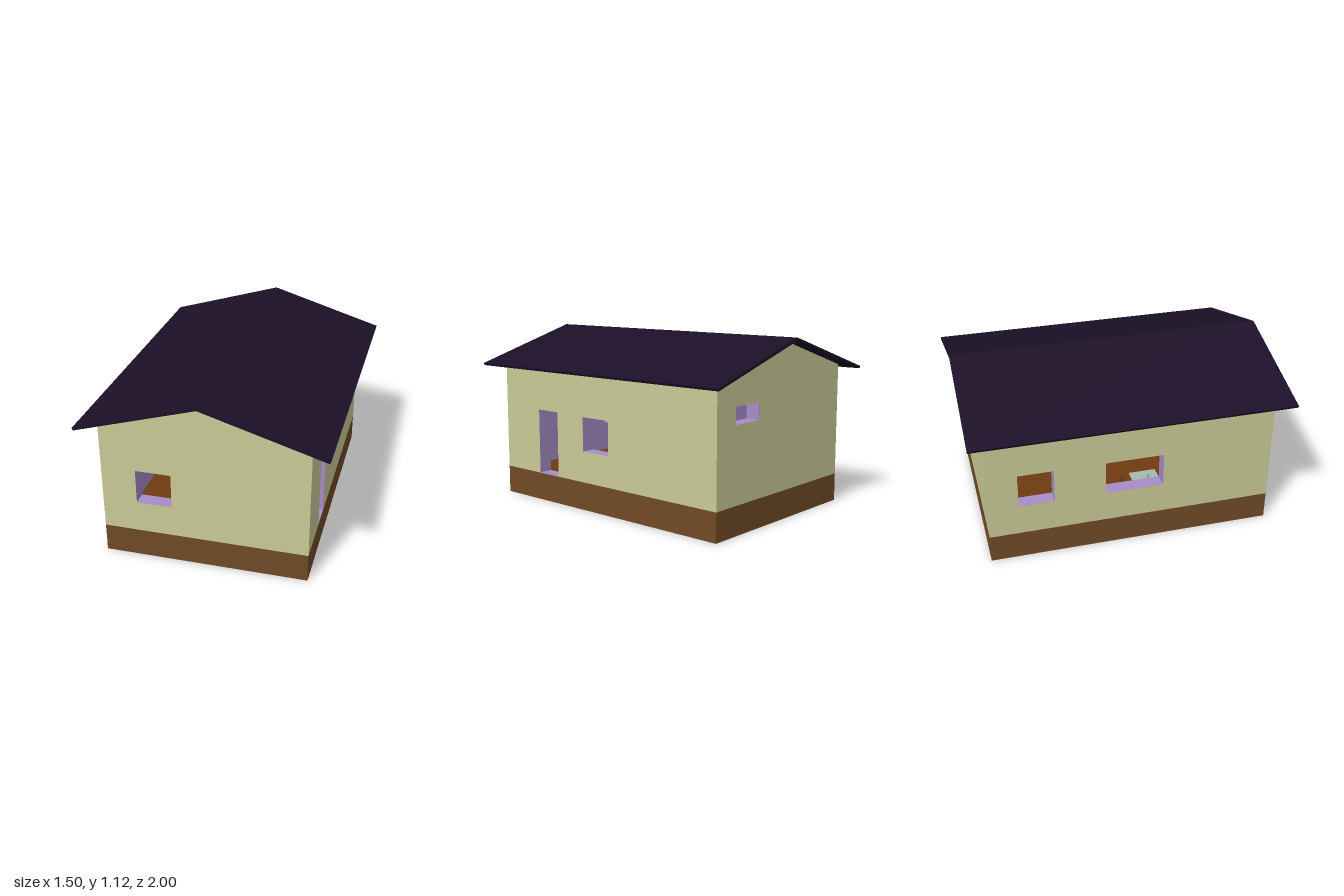
import * as THREE from 'three';

const mat = (color, side = THREE.FrontSide) => new THREE.MeshStandardMaterial({ color, side });
const cream = mat(0xcaca97), purple = mat(0xa68cc8), brown = mat(0x704a26);
const darkBrown = mat(0x6f3a10), roofMat = mat(0x1c1028), grey = mat(0xa9b8b2);

const W = 0.635, D = 0.905, BASE = 0.18, EAVE = 0.907, RIDGE = 1.1, THICK = 0.09;

function polygon(points) {
  return new THREE.Shape(points.map(([x, y]) => new THREE.Vector2(x, y)));
}

function box(name, [x0, x1], [y0, y1], [z0, z1], material) {
  const mesh = new THREE.Mesh(new THREE.BoxGeometry(x1 - x0, y1 - y0, z1 - z0), material);
  mesh.position.set((x0 + x1) / 2, (y0 + y1) / 2, (z0 + z1) / 2);
  mesh.name = name;
  return mesh;
}

// Wall panel facing local +z: cream skin over a purple core, both pierced by the openings
function wall(name, half, openings) {
  const panel = (inset) => {
    const w = half - inset;
    const shape = polygon([[-w, BASE], [w, BASE], [w, EAVE], [-w, EAVE]]);
    for (const [x0, x1, y0, y1] of openings) {
      shape.holes.push(polygon([[x0, y0], [x0, y1], [x1, y1], [x1, y0]]));
    }
    return shape;
  };
  const group = new THREE.Group();
  group.name = name;
  const skin = new THREE.Mesh(new THREE.ShapeGeometry(panel(0)), cream);
  skin.name = name + 'Skin';
  const core = new THREE.Mesh(
    new THREE.ExtrudeGeometry(panel(0.001), { depth: THICK, bevelEnabled: false }), purple);
  core.position.z = -THICK - 0.001;
  core.name = name + 'Lining';
  group.add(skin, core);
  return group;
}

export function createModel() {
  const house = new THREE.Group();
  house.name = 'house';

  // Plinth with the floor on top
  house.add(box('plinth', [-W, W], [0, BASE], [-D, D], brown));
  const in_ = 0.002;
  house.add(box('floor', [-W + in_, W - in_], [BASE - 0.01, BASE + 0.001], [-D + in_, D - in_], darkBrown));

  // Four walls; each opening is [u0, u1, y0, y1] along its own wall
  const walls = [
    ['frontWall', W, D, 0, [[-0.42, -0.2, 0.38, 0.6]]],
    ['leftWall', D, W, Math.PI / 2, [[-0.58, -0.4, BASE + 0.002, 0.605], [-0.165, 0.06, 0.38, 0.6]]],
    ['backWall', W, D, Math.PI, [[-0.465, -0.24, 0.65, 0.755]]],
    ['rightWall', D, W, -Math.PI / 2, [[-0.716, -0.494, 0.38, 0.6], [-0.172, 0.195, 0.38, 0.6]]],
  ];
  for (const [name, half, offset, turn, openings] of walls) {
    const w = wall(name, half, openings);
    w.rotation.y = turn;
    w.position.set(Math.sin(turn) * offset, 0, Math.cos(turn) * offset);
    house.add(w);
  }

  // Ceiling and the gable prism above it
  house.add(box('ceiling', [-W + 0.01, W - 0.01], [EAVE - 0.015, EAVE], [-D + 0.01, D - 0.01], darkBrown));
  const gable = new THREE.Mesh(
    new THREE.ExtrudeGeometry(polygon([[-W, EAVE], [W, EAVE], [0, RIDGE]]), { depth: 2 * D, bevelEnabled: false }), cream);
  gable.position.z = -D;
  gable.name = 'gables';
  house.add(gable);

  // Pitched roof with overhanging eaves
  const roof = new THREE.Mesh(new THREE.ExtrudeGeometry(polygon([
    [-0.745, 0.878], [0, RIDGE + 0.001], [0.745, 0.878], [0.752, 0.893], [0, 1.12], [-0.752, 0.893],
  ]), { depth: 2, bevelEnabled: false }), roofMat);
  roof.position.z = -1;
  roof.name = 'roof';
  house.add(roof);

  // Inner partition with a hanging cupboard
  house.add(box('partition', [-W + THICK, 0.1], [BASE, EAVE - 0.015], [-0.36, -0.3], purple));
  house.add(box('wallCupboard', [-W + THICK, -0.1], [0.52, 0.75], [-0.3, -0.22], darkBrown));

  // Counter under the side window with basin and tap
  house.add(box('counter', [-W + THICK, -0.42], [BASE, 0.35], [-0.02, 0.24], darkBrown));
  house.add(box('basin', [-0.535, -0.44], [0.35, 0.365], [0.03, 0.2], grey));
  const tap = new THREE.Mesh(new THREE.CylinderGeometry(0.007, 0.007, 0.03, 10), grey);
  tap.position.set(-0.52, 0.378, 0.13);
  tap.name = 'tap';
  house.add(tap);

  return house;
}
